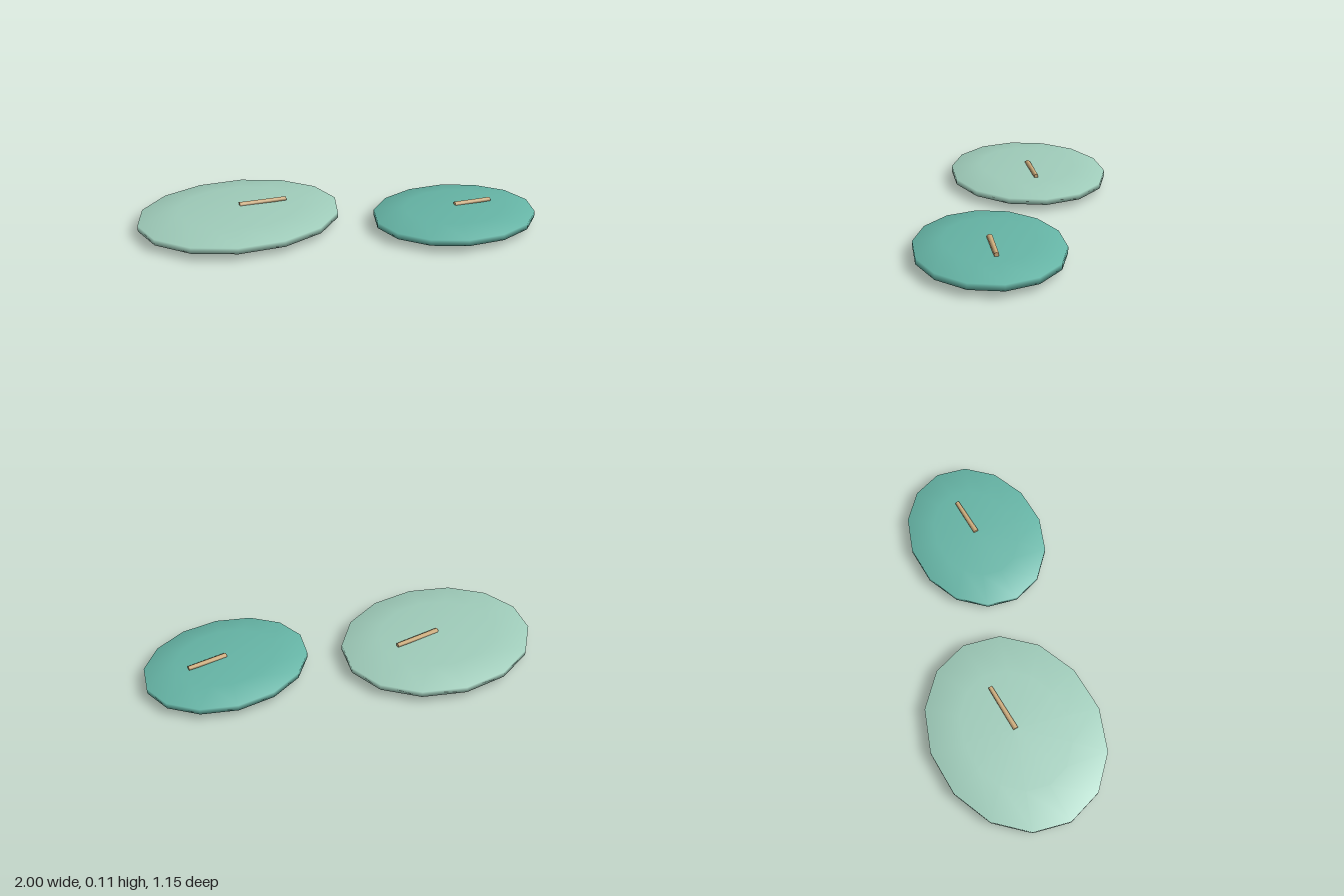
import * as THREE from 'three';

const SIDES = 14;   // outline of each pad
const RINGS = 5;    // odd count leaves a thin upright rim
const RIM = Math.sin(2 * Math.PI / RINGS);  // widest ring of a unit sphere
const HALF_HEIGHT = 0.049;

// One flattened pad with a small twig lying on its top
function createPad(name, { x, z, rx, rz, color, twigLength }) {
  const group = new THREE.Group();
  group.name = name;
  group.position.set(x, HALF_HEIGHT, z);

  const pad = new THREE.Mesh(
    new THREE.SphereGeometry(1, SIDES, RINGS).scale(rx / RIM, HALF_HEIGHT, rz / RIM),
    new THREE.MeshStandardMaterial({ color })
  );
  pad.name = 'pad';

  // Six-sided twig, slightly tapered, starting at the pad's centre and running to +x
  const twig = new THREE.Mesh(
    new THREE.CylinderGeometry(0.012, 0.015, twigLength, 6)
      .rotateY(Math.PI / 6)
      .rotateZ(-Math.PI / 2),
    new THREE.MeshStandardMaterial({ color: 0xd2b07e })
  );
  twig.name = 'twig';
  twig.position.set(twigLength / 2, 0.05, 0);

  group.add(pad, twig);
  return group;
}

export function createModel() {
  const model = new THREE.Group();
  model.name = 'floatingPads';
  model.add(
    createPad('largePad', { x: -0.475, z: -0.153, rx: 0.525, rz: 0.434, color: 0xa0cdbb, twigLength: 0.25 }),
    createPad('smallPad', { x: 0.57, z: 0.227, rx: 0.43, rz: 0.354, color: 0x66b5a6, twigLength: 0.205 })
  );
  return model;
}
